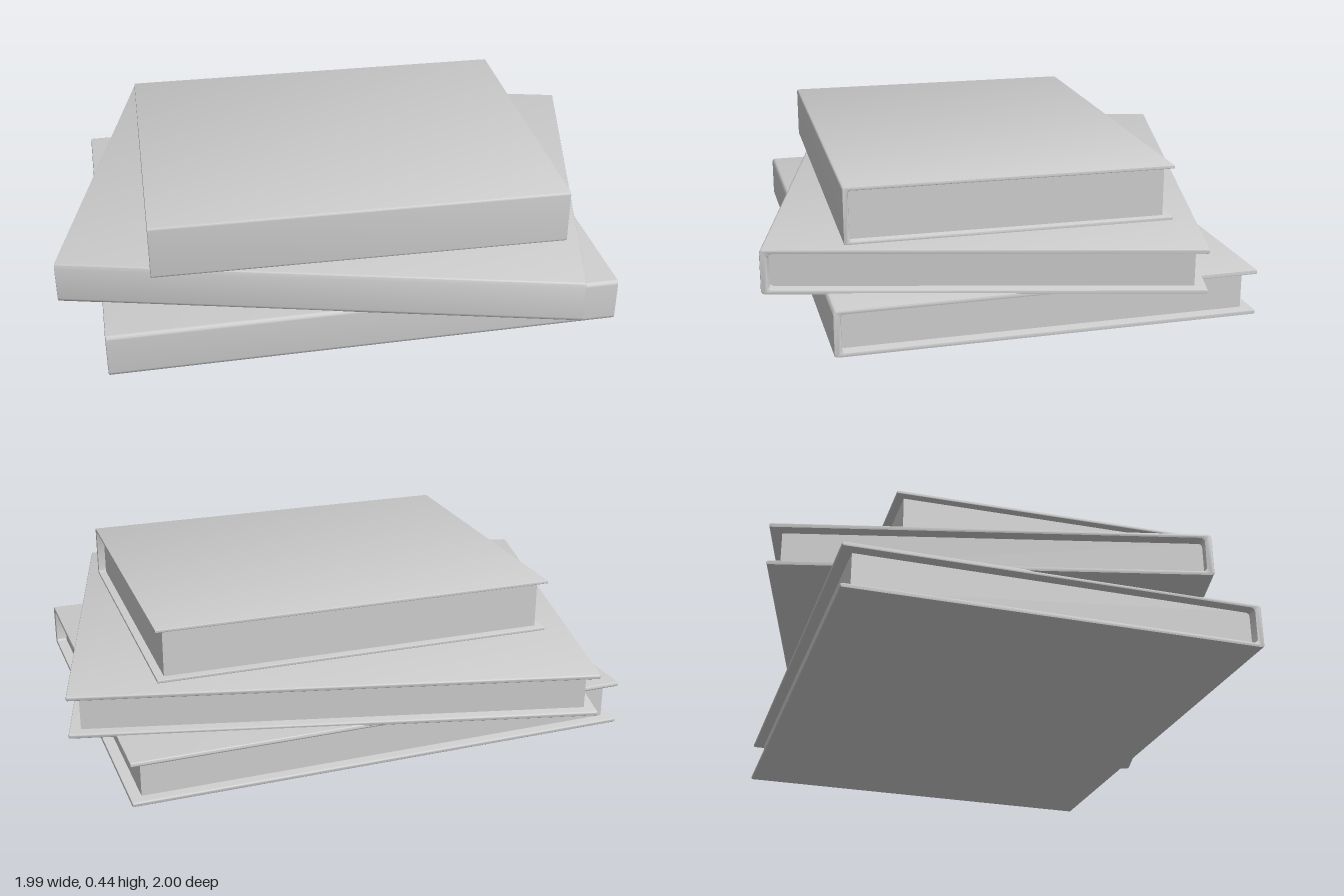
import * as THREE from 'three';
import { toCreasedNormals } from 'three/addons/utils/BufferGeometryUtils.js';

const grey = new THREE.MeshStandardMaterial({ color: 0xcccccc });

// C-shaped section of a hard cover: spine at +x, open fore-edge at -x
function coverSection(w, h, t, spine, r) {
  const x0 = -w / 2, x1 = w / 2, xi = x1 - spine;
  const e = t * 0.4; // rounding of the fore-edges
  const s = new THREE.Shape();
  s.moveTo(x0 + e, 0);
  s.lineTo(x1 - r, 0);
  s.quadraticCurveTo(x1, 0, x1, r);
  s.lineTo(x1, h - r);
  s.quadraticCurveTo(x1, h, x1 - r, h);
  s.lineTo(x0 + e, h);
  s.quadraticCurveTo(x0, h, x0, h - e);
  s.lineTo(x0, h - t + e);
  s.quadraticCurveTo(x0, h - t, x0 + e, h - t);
  s.lineTo(xi - r, h - t);
  s.quadraticCurveTo(xi, h - t, xi, h - t - r);
  s.lineTo(xi, t + r);
  s.quadraticCurveTo(xi, t, xi - r, t);
  s.lineTo(x0 + e, t);
  s.quadraticCurveTo(x0, t, x0, t - e);
  s.lineTo(x0, e);
  s.quadraticCurveTo(x0, 0, x0 + e, 0);
  return s;
}

function makeBook(name, { w, l, h, t, spine, r, inset }) {
  const book = new THREE.Group();
  book.name = name;

  // cover, with softened head and tail edges
  const b = t * 0.3;
  const geo = new THREE.ExtrudeGeometry(coverSection(w, h, t, spine, r), {
    depth: l - 2 * b, curveSegments: 5,
    bevelEnabled: true, bevelThickness: b, bevelSize: b, bevelOffset: -b, bevelSegments: 2,
  });
  geo.translate(0, 0, -(l - 2 * b) / 2);
  const cover = new THREE.Mesh(toCreasedNormals(geo, 0.7), grey);
  cover.name = 'cover';
  book.add(cover);

  // page block, set back from the three open sides and tucked into the cover
  const px0 = -w / 2 + inset, px1 = w / 2 - spine * 0.7;
  const pages = new THREE.Mesh(new THREE.BoxGeometry(px1 - px0, h - 1.4 * t, l - 2 * inset), grey);
  pages.position.set((px0 + px1) / 2, h / 2, 0);
  pages.name = 'pages';
  book.add(pages);
  return book;
}

export function createModel() {
  const stack = new THREE.Group();
  stack.name = 'bookStack';
  const large = { w: 1.255, l: 1.565, t: 0.014, spine: 0.022, r: 0.013, inset: 0.034 };
  const small = { w: 0.98, l: 1.26, t: 0.010, spine: 0.016, r: 0.008, inset: 0.025 };

  const bottom = makeBook('bottomBook', { ...large, h: 0.14 });
  bottom.rotation.y = -0.75;

  const middle = makeBook('middleBook', { ...large, h: 0.134 });
  middle.position.y = 0.135;
  middle.rotation.y = -1.003;

  const top = makeBook('topBook', { ...small, h: 0.169 });
  top.position.set(0.05, 0.268, 0.04);
  top.rotation.y = -0.773;

  stack.add(bottom, middle, top);
  return stack;
}
